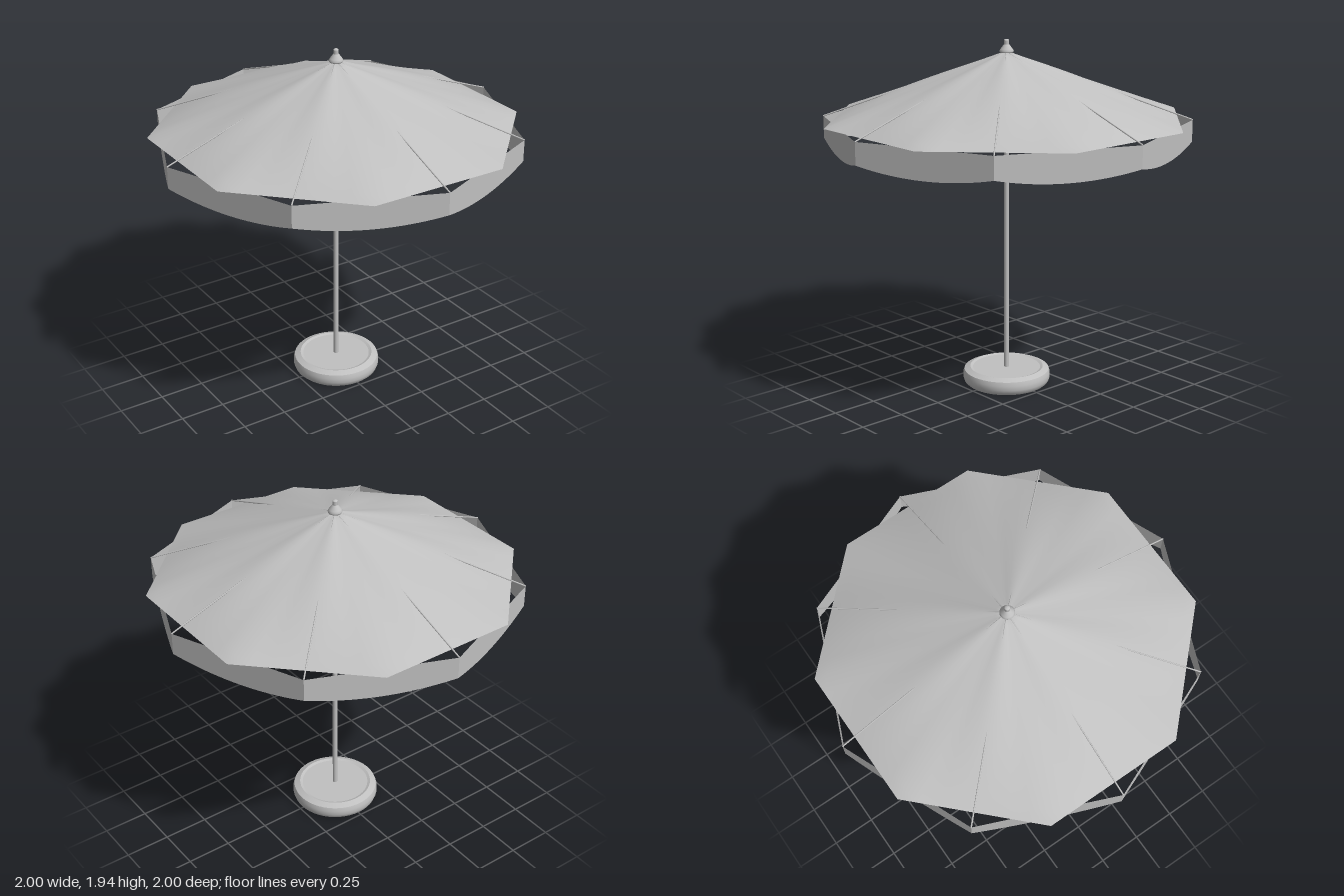
import * as THREE from 'three';

const APEX = 1.88, RIM = 1.52, SIDES = 8, STEP = Math.PI / 4;
const APOTHEM = Math.cos(Math.PI / 8);

export function createModel() {
  const group = new THREE.Group();
  const grey = new THREE.MeshStandardMaterial({ color: 0xc0c0c0, side: THREE.DoubleSide });
  grey.name = 'light grey';

  const add = (geometry, name) => {
    const mesh = new THREE.Mesh(geometry, grey);
    mesh.name = name;
    group.add(mesh);
    return mesh;
  };
  // Lathe from [radius, height] pairs; repeated corners give crisp edges
  const lathe = (points, name, segments = 32) =>
    add(new THREE.LatheGeometry(points.map(p => new THREE.Vector2(...p)), segments), name);
  // Thin round bar between two points in the plane at the given angle
  const bar = (r0, y0, r1, y1, angle, radius, name) => {
    const at = (r, y) => new THREE.Vector3(r * Math.sin(angle), y, r * Math.cos(angle));
    const a = at(r0, y0), b = at(r1, y1);
    const mesh = add(new THREE.CylinderGeometry(radius, radius, a.distanceTo(b), 8), name);
    mesh.position.copy(a).lerp(b, 0.5);
    mesh.quaternion.setFromUnitVectors(new THREE.Vector3(0, 1, 0), b.sub(a).normalize());
  };

  // Hollow weighted base with a shallow dish on top
  lathe([[0.001, 0.07], [0.19, 0.07], [0.19, 0.07], [0.2, 0.01], [0.2, 0.01], [0.225, 0.008],
    [0.225, 0.008], [0.238, 0.02], [0.245, 0.04], [0.245, 0.065], [0.238, 0.086],
    [0.238, 0.086], [0.205, 0.1], [0.205, 0.1], [0.19, 0.094], [0.19, 0.094], [0.001, 0.094]], 'base', 48);

  // Pole, sliding hub and finial
  lathe([[0.001, 0.03], [0.0135, 0.03], [0.0135, 0.03], [0.0135, 1.88]], 'pole', 20);
  lathe([[0.0135, 1.365], [0.026, 1.37], [0.026, 1.37], [0.026, 1.4], [0.026, 1.4], [0.0135, 1.405]], 'hub', 20);
  lathe([[0.001, 1.872], [0.036, 1.874], [0.039, 1.882], [0.033, 1.893], [0.014, 1.918],
    [0.014, 1.918], [0.014, 1.94], [0.014, 1.94], [0.009, 1.945], [0.001, 1.946]], 'finial', 20);

  // Canopy: octagonal cloth, lifted along the ribs and slack between them
  const N = 64, RINGS = 16, positions = [0, APEX, 0], index = [];
  for (let i = 1; i <= RINGS; i++) {
    const t = i / RINGS;
    for (let j = 0; j < N; j++) {
      const a = (j / N) * Math.PI * 2;
      const off = a - Math.round(a / STEP) * STEP;
      const r = t * APOTHEM / Math.cos(off);
      const lift = (1 + Math.cos(SIDES * a)) / 2;
      const y = APEX - (APEX - RIM) * t + 0.052 * t * (1 - t * t) * lift - 0.015 * t * (1 - t) * (1 - lift);
      positions.push(r * Math.sin(a), y, r * Math.cos(a));
      const k = (j + 1) % N, p = 1 + (i - 1) * N, q = p - N;
      if (i === 1) index.push(0, p + j, p + k);
      else index.push(q + j, p + j, p + k, q + j, p + k, q + k);
    }
  }
  const canopy = new THREE.BufferGeometry();
  canopy.setAttribute('position', new THREE.Float32BufferAttribute(positions, 3));
  canopy.setIndex(index);
  canopy.computeVertexNormals();
  add(canopy, 'canopy');

  // One flat valance panel with a scalloped lower edge
  const half = Math.sin(Math.PI / 8);
  const panel = new THREE.Shape();
  panel.moveTo(-half, RIM);
  panel.lineTo(-half, 1.4);
  panel.quadraticCurveTo(0, 1.318, half, 1.4);
  panel.lineTo(half, RIM);
  panel.closePath();
  const panelGeometry = new THREE.ShapeGeometry(panel, 20).translate(0, 0, APOTHEM);

  for (let i = 0; i < SIDES; i++) {
    const angle = i * STEP;
    add(panelGeometry, 'valancePanel').rotation.y = angle + STEP / 2;
    bar(0.02, 1.872, 1, RIM, angle, 0.004, 'rib');
    bar(0.02, 1.385, 0.45, 1.716, angle, 0.004, 'strut');
  }
  return group;
}
